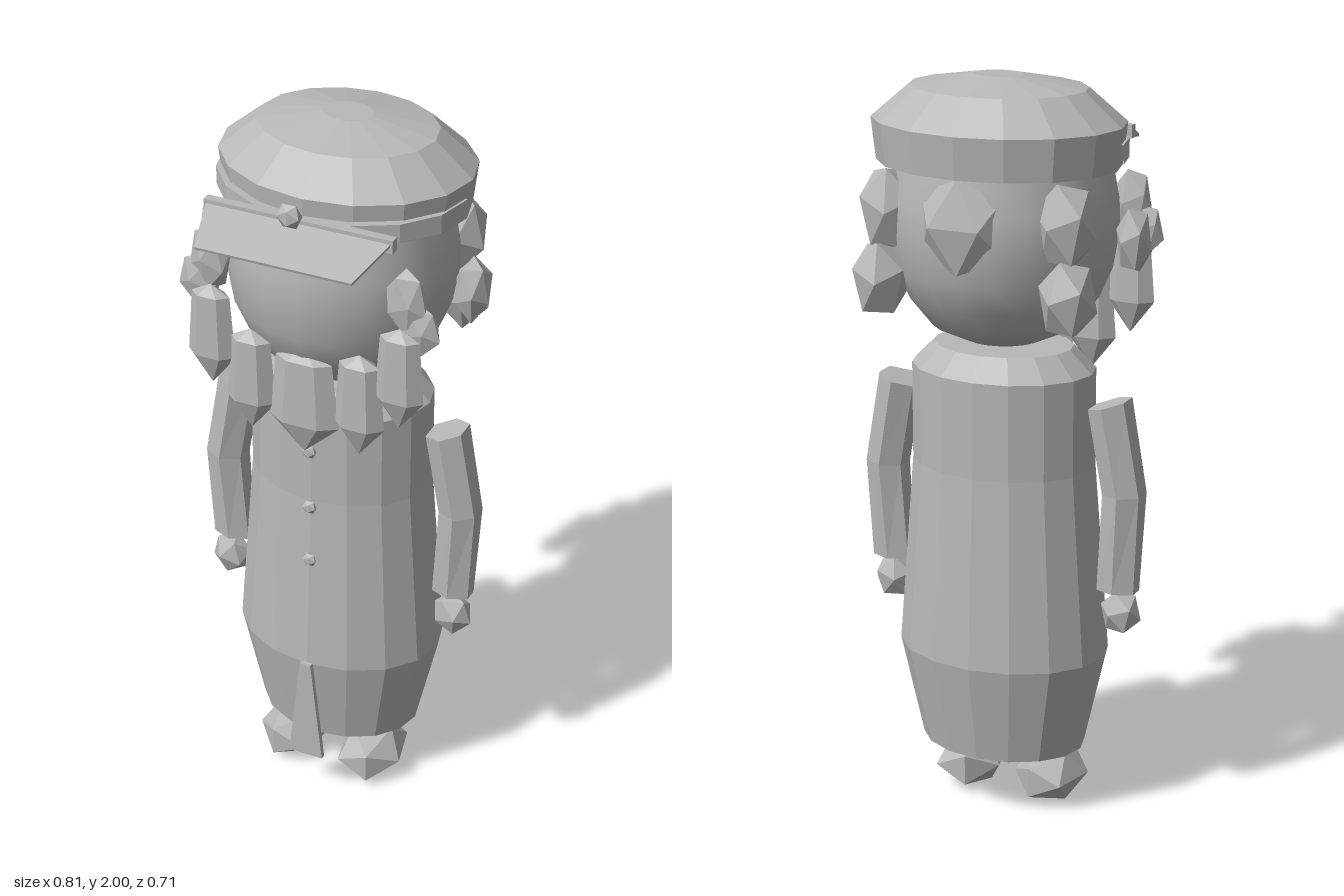
import * as THREE from 'three';

export function createModel() {
  const model = new THREE.Group();
  const flat = new THREE.MeshStandardMaterial({ name: 'plain grey', color: 0xb8b8b8 });
  flat.flatShading = true;
  // same colour, smooth normals for the head
  const smooth = flat.clone();
  smooth.flatShading = false;

  function add(name, geometry, x = 0, y = 0, z = 0) {
    const mesh = new THREE.Mesh(geometry, flat);
    mesh.name = name;
    mesh.position.set(x, y, z);
    model.add(mesh);
    return mesh;
  }

  // profile of [radius, height] from bottom to top, squashed in depth
  function turned(name, profile, sides, depth, z, start = 0, sweep = Math.PI * 2) {
    const points = profile.map(([r, y]) => new THREE.Vector2(r, y));
    const geometry = new THREE.LatheGeometry(points, sides, start, sweep);
    return add(name, geometry.scale(1, 1, depth), 0, 0, z);
  }

  // faceted lump given by its centre and half sizes
  function lump(name, x, y, z, hx, hy, hz, turn = 0) {
    const geometry = new THREE.IcosahedronGeometry(1 / 0.851, 0);
    geometry.rotateY(turn).scale(hx, hy, hz);
    return add(name, geometry, x, y, z);
  }

  // lump standing on a point, so it reads as a curl
  function curl(name, x, y, z, hx, hy, hz) {
    const geometry = new THREE.IcosahedronGeometry(1, 0);
    geometry.rotateX(Math.atan(0.618)).rotateY(x).scale(hx / 0.87, hy, hz / 0.87);
    return add(name, geometry, x, y, z);
  }

  // beard lock: blunt top, pointed tip
  function lock(name, x, top, tip, z, hx, hz) {
    const points = [[0, -1], [1, -0.4], [0.8, 0.8], [0, 1]].map(([r, y]) => new THREE.Vector2(r, y));
    const geometry = new THREE.LatheGeometry(points, 6, Math.PI / 6).scale(hx, (top - tip) / 2, hz);
    return add(name, geometry, x, (top + tip) / 2, z);
  }

  // flat plate with an outline in x and y
  function plate(name, outline, thickness) {
    const shape = new THREE.Shape(outline.map(([x, y]) => new THREE.Vector2(x, y)));
    return add(name, new THREE.ExtrudeGeometry(shape, { depth: thickness, bevelEnabled: false }));
  }

  // coat
  turned('coat', [[0, 0.175], [0.227, 0.175], [0.29, 0.45], [0.25, 0.97], [0.25, 1.23], [0.19, 1.29], [0, 1.29]],
    16, 0.785, -0.05);
  plate('coatFlap', [[-0.05, 0.14], [0.05, 0.14], [0.016, 0.455], [-0.016, 0.455]], 0.015).position.z = 0.175;
  for (const y of [1.13, 0.955, 0.785]) lump('button', 0, y, 0.155, 0.018, 0.018, 0.01);

  // head, flattened under the chin
  turned('head', [[0, 1.304], [0.105, 1.306], [0.19, 1.345], [0.25, 1.42], [0.285, 1.5], [0.302, 1.6], [0.3, 1.68],
    [0.28, 1.79]], 20, 0.95, -0.05).material = smooth;

  // cap
  turned('cap', [[0, 1.775], [0.325, 1.775], [0.338, 1.885], [0.237, 1.97], [0.067, 2], [0, 2]], 16, 0.8, -0.08);
  turned('capBand', [[0.31, 1.79], [0.334, 1.79], [0.334, 1.84], [0.31, 1.84], [0.31, 1.79]],
    8, 0.81, -0.06, -Math.PI / 2, Math.PI);
  add('visorBar', new THREE.BoxGeometry(0.51, 0.035, 0.025), 0, 1.823, 0.203);
  const visor = plate('visor', [[-0.255, 0], [-0.21, -0.17], [0.21, -0.17], [0.255, 0]], 0.008);
  visor.rotation.x = -1.26;
  visor.position.set(0, 1.83, 0.19);
  lump('badge', 0, 1.87, 0.256, 0.03, 0.031, 0.018);

  for (const side of [-1, 1]) {
    // arm: a six-sided column bent at the elbow
    const arm = new THREE.CylinderGeometry(1, 1, 1, 6, 2);
    const p = arm.attributes.position;
    const stations = [
      { x: 0.33, y: 0.65, r: 0.06, d: 0.043, tilt: 0 },
      { x: 0.345, y: 0.92, r: 0.059, d: 0.057, tilt: 0.06 },
      { x: 0.302, y: 1.16, r: 0.057, d: 0.062, tilt: 0.3 },
    ];
    for (let i = 0; i < p.count; i++) {
      const s = stations[Math.round((p.getY(i) + 0.5) * 2)];
      const dx = p.getX(i) * s.r;
      p.setXYZ(i, side * s.x + dx, s.y + side * dx * s.tilt, -0.05 + p.getZ(i) * s.d);
    }
    arm.computeVertexNormals();
    add('arm', arm);
    curl('hand', side * 0.335, 0.585, -0.04, 0.05, 0.066, 0.04);
    lump('foot', side * 0.12, 0.068, 0, 0.084, 0.068, 0.108, side * 0.3);

    // beard and whiskers
    lock('beardLock', side * 0.152, 1.475, 1.18, 0.178, 0.07, 0.038);
    lock('beardLock', side * 0.262, 1.58, 1.29, 0.18, 0.067, 0.034);
    curl('upperWhisker', side * 0.27, 1.645, 0.16, 0.052, 0.1, 0.026);
    curl('outerWhisker', side * 0.302, 1.575, 0.157, 0.054, 0.078, 0.024);

    // ear and hair
    curl('ear', side * 0.36, 1.597, -0.045, 0.042, 0.095, 0.046);
    curl('upperHairCurl', side * 0.245, 1.658, -0.218, 0.074, 0.124, 0.062);
    curl('lowerHairCurl', side * 0.262, 1.477, -0.238, 0.068, 0.112, 0.068);
  }
  lock('chinLock', 0, 1.455, 1.15, 0.182, 0.098, 0.036);
  lump('backHairCurl', 0, 1.652, -0.296, 0.112, 0.122, 0.06, Math.PI / 2);

  return model;
}
